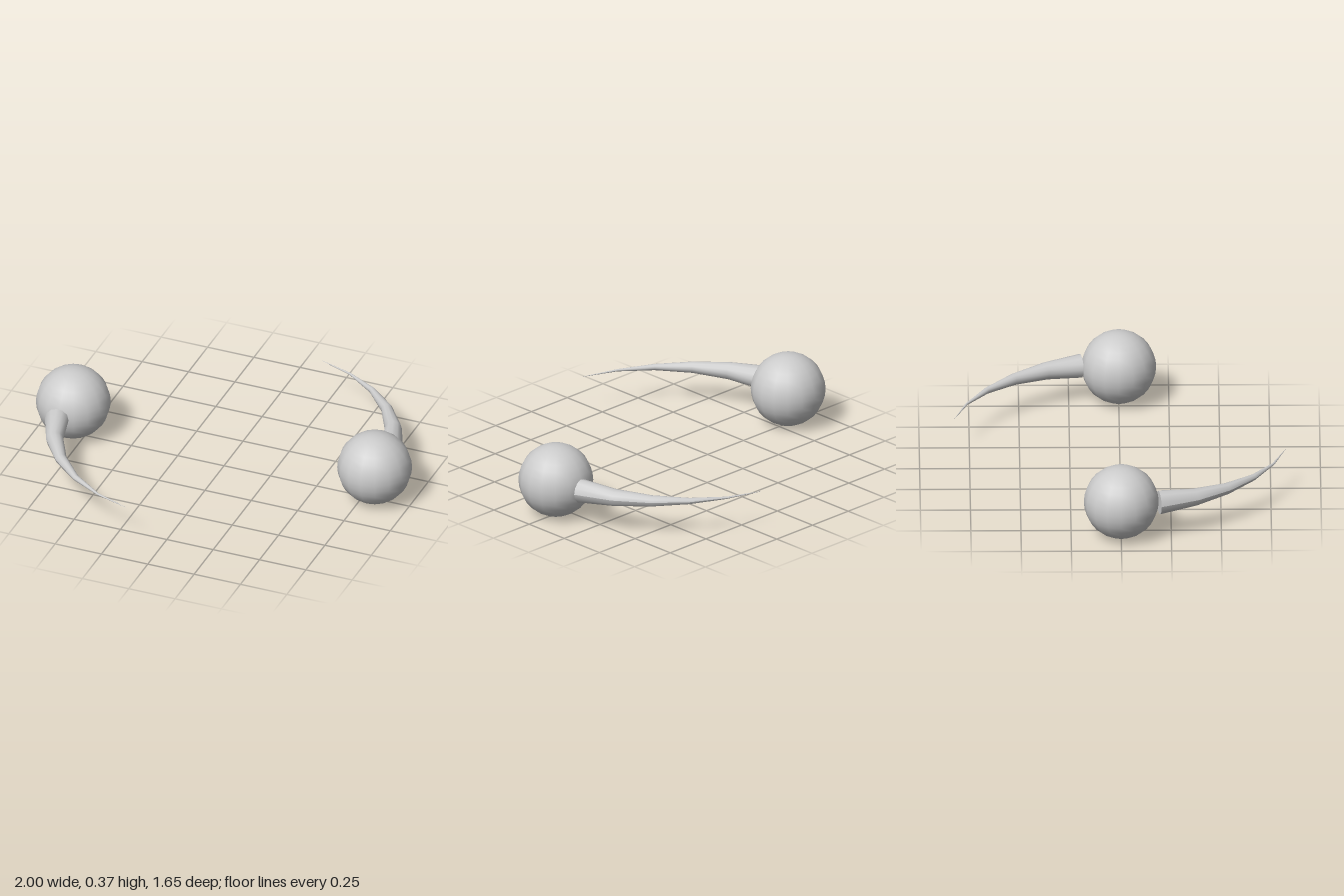
import * as THREE from 'three';

const R = 0.187;        // ball radius
const ORBIT = 0.846;    // radius of the arc the tails follow
const STEP = Math.PI / 14;

// Curved horn-like tail: rings along an arc about the origin, thinning to a point
function tailGeometry(sides = 12, rings = 5) {
  const pos = [], idx = [];
  for (let i = 0; i <= rings; i++) {
    const a = STEP * (i + 1);
    const r = Math.max(0.06 * Math.pow(1 - i / rings, 1.45), 0.0008);
    for (let j = 0; j <= sides; j++) {
      const b = (j / sides) * Math.PI * 2;
      const d = ORBIT + r * Math.cos(b);
      pos.push(-d * Math.cos(a), R + r * Math.sin(b), d * Math.sin(a));
      if (i < rings && j < sides) {
        const p = i * (sides + 1) + j, q = p + sides + 1;
        idx.push(p, q, p + 1, p + 1, q, q + 1);
      }
    }
  }
  const g = new THREE.BufferGeometry();
  g.setAttribute('position', new THREE.Float32BufferAttribute(pos, 3));
  g.setIndex(idx);
  g.computeVertexNormals();
  return g;
}

export function createModel() {
  const group = new THREE.Group();
  const mat = new THREE.MeshStandardMaterial({ color: 0xcccccc, side: THREE.DoubleSide });
  const ballGeo = new THREE.SphereGeometry(R, 16, 16);
  const tailGeo = tailGeometry();
  const capGeo = new THREE.CircleGeometry(0.06, 12);

  // Two identical halves, turned half a revolution about the vertical axis
  ['right', 'left'].forEach((side, i) => {
    const half = new THREE.Group();
    half.name = side + 'Comet';
    const add = (geo, name) => {
      const m = new THREE.Mesh(geo, mat);
      m.name = name;
      half.add(m);
      return m;
    };
    add(ballGeo, 'ball').position.set(R - 1, R, 0);
    add(tailGeo, 'tail');
    // Disc closing the thick end of the tail
    const cap = add(capGeo, 'tailCap');
    cap.position.set(-ORBIT * Math.cos(STEP), R, ORBIT * Math.sin(STEP));
    cap.rotation.y = Math.PI + STEP;
    half.rotation.y = i * Math.PI;
    group.add(half);
  });
  return group;
}
